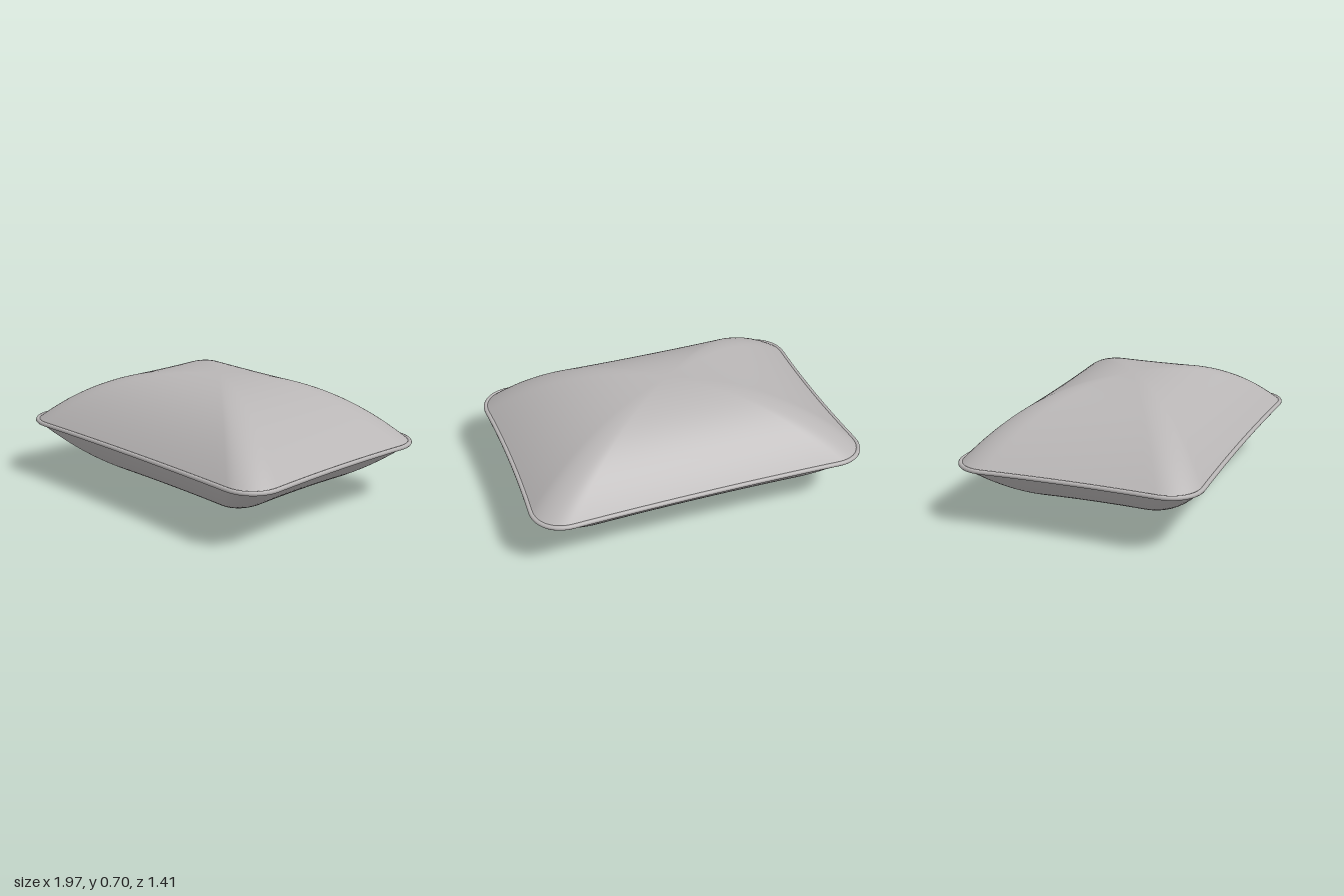
import * as THREE from 'three';

const HX = 0.997, HZ = 0.706, CORNER = 0.2; // half sizes and corner radius of the seam
const MID = 0.351, PUFF = 0.348, PIPE = 0.013;

// Closed seam outline in x,z: a rounded rectangle whose sides are pinched inwards
function seamOutline() {
  const raw = [], arcSteps = 10, sideSteps = 20;
  const centres = [[1, 1], [-1, 1], [-1, -1], [1, -1]];
  const arcPoint = (k, t) => {
    const [sx, sz] = centres[k % 4], a = (k + t) * Math.PI / 2;
    return new THREE.Vector2(
      sx * (HX - CORNER) + CORNER * Math.cos(a),
      sz * (HZ - CORNER) + CORNER * Math.sin(a));
  };
  for (let k = 0; k < 4; k++) {
    for (let i = 0; i < arcSteps; i++) raw.push(arcPoint(k, i / arcSteps));
    const from = arcPoint(k, 1), to = arcPoint(k + 1, 0);
    for (let i = 0; i < sideSteps; i++) raw.push(from.clone().lerp(to, i / sideSteps));
  }
  return raw.map(({ x, y: z }) => new THREE.Vector2(
    x * (1 - 0.03 * (1 - (z / HZ) ** 2)),
    z * (1 - 0.03 * (1 - (x / HX) ** 2))));
}

// One puffed half: shrinking copies of the outline rise towards the middle
function puffedHalf(outline, side) {
  const rings = 32, n = outline.length;
  const pos = [0, MID + side * PUFF, 0], index = [];
  const tri = (a, b, c) => (side > 0 ? index.push(a, b, c) : index.push(a, c, b));
  for (let r = 1; r <= rings; r++) {
    const s = r / rings, y = MID + side * PUFF * (1 - s ** 2.45);
    for (const p of outline) pos.push(p.x * s, y, p.y * s);
    for (let i = 0; i < n; i++) {
      const j = (i + 1) % n, outer = 1 + (r - 1) * n, inner = outer - n;
      if (r === 1) tri(0, outer + j, outer + i);
      else {
        tri(inner + i, inner + j, outer + j);
        tri(inner + i, outer + j, outer + i);
      }
    }
  }
  const geometry = new THREE.BufferGeometry();
  geometry.setAttribute('position', new THREE.Float32BufferAttribute(pos, 3));
  geometry.setIndex(index);
  geometry.computeVertexNormals();
  return geometry;
}

export function createModel() {
  const group = new THREE.Group();
  group.name = 'pillow';
  const fabric = new THREE.MeshStandardMaterial({ color: 0xb8b5b5 });
  fabric.name = 'grey fabric';
  const add = (name, geometry) => {
    const mesh = new THREE.Mesh(geometry, fabric);
    mesh.name = name;
    group.add(mesh);
  };

  const outline = seamOutline();
  // Fabric halves
  add('upperCushion', puffedHalf(outline.map(p => p.clone().multiplyScalar(0.99)), 1));
  add('lowerCushion', puffedHalf(outline.map(p => p.clone().multiplyScalar(0.99)), -1));

  // Piping cord along the seam
  const path = new THREE.CatmullRomCurve3(
    outline.map(p => new THREE.Vector3(p.x * 0.99, MID, p.y * 0.99)), true);
  add('seamPiping', new THREE.TubeGeometry(path, 240, PIPE, 10, true));
  return group;
}
